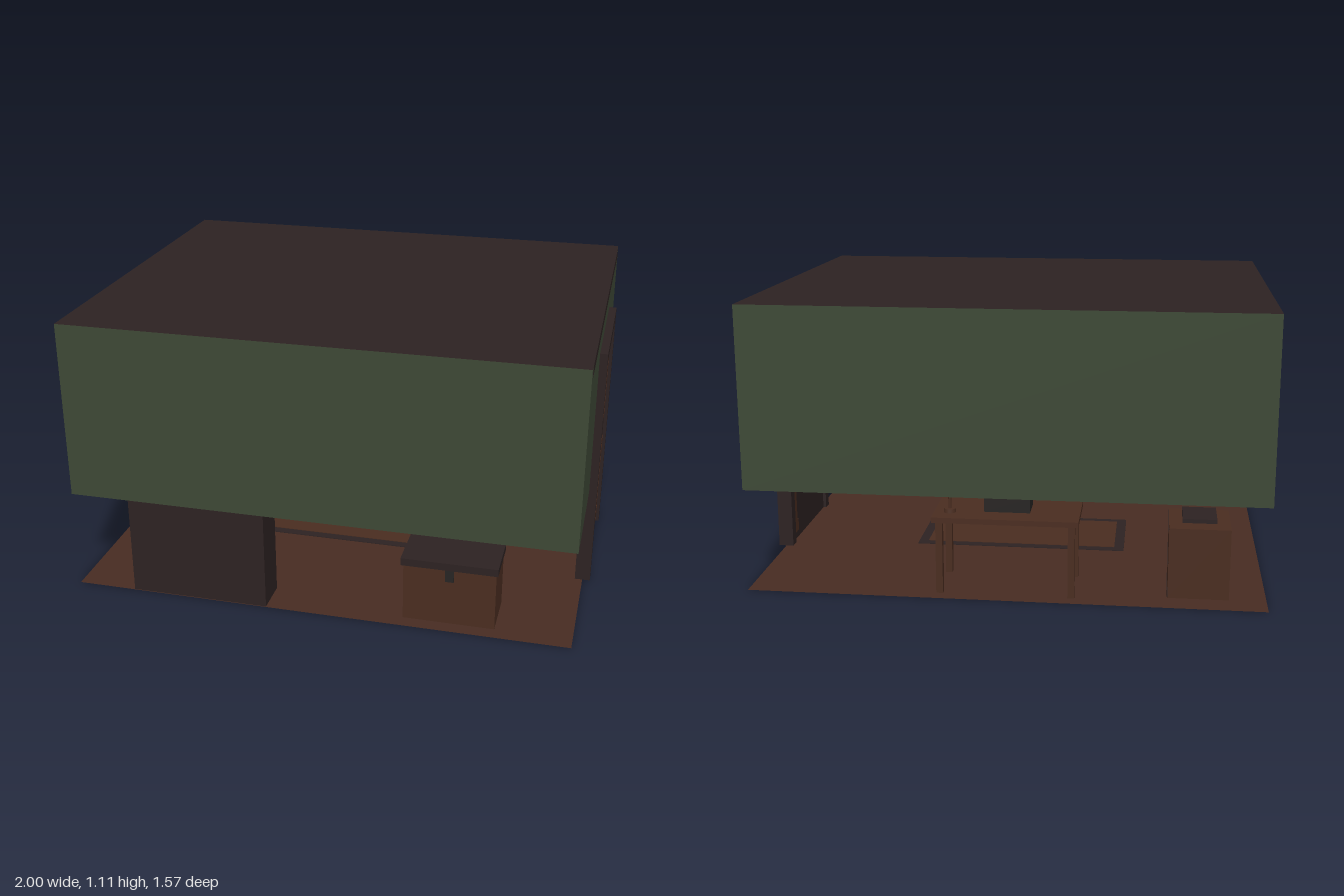
import * as THREE from 'three';

const mat = (name, color, side = THREE.FrontSide) => {
  const m = new THREE.MeshStandardMaterial({ color, side });
  m.name = name;
  return m;
};

export function createModel() {
  const root = new THREE.Group();
  root.name = 'studyRoom';

  const wall = mat('wall green', 0x3d4835, THREE.DoubleSide);
  const ceilingMat = mat('ceiling brown', 0x2d2222, THREE.DoubleSide);
  const floorMat = mat('floor brown', 0x472c22, THREE.DoubleSide);
  const dark = mat('dark wood', 0x2d2222);
  const wood = mat('warm wood', 0x4a2d20);
  const iron = mat('iron', 0x272423);
  const paperMat = mat('dull green paper', 0x3a4434, THREE.DoubleSide);
  const shadeMat = mat('shade brown', 0x4f3022, THREE.DoubleSide);

  const group = (name) => {
    const g = new THREE.Group();
    g.name = name;
    root.add(g);
    return g;
  };
  // box given by its limits on each axis
  const box = (parent, name, m, [x0, x1], [y0, y1], [z0, z1]) => {
    const mesh = new THREE.Mesh(new THREE.BoxGeometry(x1 - x0, y1 - y0, z1 - z0), m);
    mesh.position.set((x0 + x1) / 2, (y0 + y1) / 2, (z0 + z1) / 2);
    mesh.name = name;
    parent.add(mesh);
    return mesh;
  };
  const plane = (parent, name, m, w, h, pos, rx, ry) => {
    const mesh = new THREE.Mesh(new THREE.PlaneGeometry(w, h), m);
    mesh.position.set(...pos);
    mesh.rotation.set(rx, ry, 0);
    mesh.name = name;
    parent.add(mesh);
  };

  // room shell: floor, raised wall band, ceiling
  const X0 = -1, X1 = 0.97, Z = 0.785, TOP = 1.105, LOW = 0.4;
  const W = X1 - X0, XC = (X0 + X1) / 2, H = TOP - LOW, YC = (TOP + LOW) / 2;
  const shell = group('shell');
  plane(shell, 'floor', floorMat, W, 2 * Z, [XC, 0, 0], -Math.PI / 2, 0);
  plane(shell, 'ceiling', ceilingMat, W, 2 * Z, [XC, TOP, 0], -Math.PI / 2, 0);
  plane(shell, 'frontWall', wall, W, H, [XC, YC, Z], 0, 0);
  plane(shell, 'backWall', wall, W, H, [XC, YC, -Z], 0, Math.PI);
  plane(shell, 'leftWall', wall, 2 * Z, H, [X1, YC, 0], 0, Math.PI / 2);
  plane(shell, 'rightWall', wall, 2 * Z, H, [X0, YC, 0], 0, -Math.PI / 2);

  // ceiling moulding
  const crown = group('ceilingMoulding');
  const cy = [1.06, TOP - 0.001];
  box(crown, 'frontMoulding', dark, [X0 + 0.001, X1 - 0.001], cy, [0.74, Z - 0.001]);
  box(crown, 'backMoulding', dark, [X0 + 0.001, X1 - 0.001], cy, [-Z + 0.001, -0.74]);
  box(crown, 'leftMoulding', dark, [X1 - 0.045, X1 + 0.001], cy, [-0.74, 0.74]);
  box(crown, 'rightMoulding', dark, [X0 - 0.001, X0 + 0.045], cy, [-0.74, 0.74]);

  // door with frame and worn strips
  const door = group('door');
  for (const s of [-1, 1]) {
    box(door, 'doorJamb', dark, [0.94, 1], [0, 0.98], s > 0 ? [0.238, 0.284] : [-0.284, -0.238]);
  }
  box(door, 'doorLintel', dark, [0.94, 1], [0.935, 0.98], [-0.238, 0.238]);
  box(door, 'doorSlab', dark, [0.953, 0.986], [0, 0.907], [-0.238, 0.238]);
  for (const [y, z] of [
    [[0.81, 0.835], [0, 0.238]],
    [[0.52, 0.82], [-0.205, -0.175]],
    [[0.8, 0.84], [-0.235, -0.175]],
    [[0.07, 0.4], [-0.205, -0.175]],
    [[0.34, 0.42], [-0.235, -0.2]],
    [[0.03, 0.08], [-0.23, -0.16]],
    [[0.385, 0.405], [0.04, 0.238]],
    [[0.69, 0.73], [-0.11, -0.075]],
    [[0.24, 0.27], [-0.13, -0.1]],
    [[0.75, 0.81], [-0.035, -0.005]],
  ]) box(door, 'doorStrip', wood, [0.951, 0.988], y, z);

  // tall cabinet against the front wall, doors facing the room
  const cabinet = group('cabinet');
  box(cabinet, 'cabinetBody', dark, [-0.765, -0.215], [0.001, 0.78], [0.641, Z - 0.002]);
  for (const s of [-1, 1]) {
    const c = -0.49 + s * 0.135;
    box(cabinet, 'cabinetDoor', dark, [c - 0.125, c + 0.125], [0.03, 0.75], [0.635, 0.642]);
    box(cabinet, 'cabinetKnob', wood, [-0.495 + s * 0.03, -0.485 + s * 0.03], [0.41, 0.43], [0.62, 0.636]);
  }

  // storage chest
  const chest = group('chest');
  box(chest, 'chestBody', wood, [0.32, 0.675], [0.001, 0.235], [0.535, 0.73]);
  box(chest, 'chestLid', dark, [0.31, 0.682], [0.235, 0.265], [0.527, 0.738]);
  box(chest, 'chestLatch', iron, [0.482, 0.515], [0.185, 0.235], [0.725, 0.736]);

  // chest of drawers
  const dresser = group('dresser');
  box(dresser, 'dresserBody', wood, [-0.86, -0.63], [0.001, 0.277], [-0.69, -0.45]);
  for (const y of [0.008, 0.135, 0.268]) {
    box(dresser, 'drawerGap', dark, [-0.632, -0.628], [y - 0.005, y + 0.005], [-0.685, -0.455]);
  }
  box(dresser, 'folder', dark, [-0.81, -0.68], [0.277, 0.293], [-0.62, -0.47]);

  // table
  const table = group('table');
  box(table, 'tableTop', wood, [-0.295, 0.26], [0.284, 0.305], [-0.745, -0.475]);
  for (const x of [-0.268, 0.233]) for (const z of [-0.72, -0.5]) {
    box(table, 'tableLeg', wood, [x - 0.013, x + 0.013], [0, 0.284], [z - 0.013, z + 0.013]);
  }

  // typewriter: stepped body, keyboard, roller and sheet
  const typewriter = group('typewriter');
  box(typewriter, 'typewriterBody', iron, [-0.105, 0.07], [0.305, 0.362], [-0.655, -0.535]);
  const keys = box(typewriter, 'keyboard', iron, [-0.09, 0.055], [0.31, 0.33], [-0.545, -0.5]);
  keys.rotation.x = 0.2;
  const roller = new THREE.Mesh(new THREE.CylinderGeometry(0.014, 0.014, 0.205, 12), iron);
  roller.rotation.z = Math.PI / 2;
  roller.position.set(-0.018, 0.374, -0.63);
  roller.name = 'roller';
  typewriter.add(roller);
  plane(typewriter, 'sheet', paperMat, 0.11, 0.06, [-0.018, 0.4, -0.637], -0.1, 0);

  // table lamp
  const lamp = group('lamp');
  const turned = (name, m, r0, r1, y0, y1, open = false) => {
    const mesh = new THREE.Mesh(new THREE.CylinderGeometry(r1, r0, y1 - y0, 16, 1, open), m);
    mesh.position.set(0.2, (y0 + y1) / 2, -0.667);
    mesh.name = name;
    lamp.add(mesh);
  };
  turned('lampBase', wood, 0.024, 0.022, 0.305, 0.32);
  turned('lampStem', wood, 0.006, 0.006, 0.32, 0.43);
  turned('lampShade', shadeMat, 0.055, 0.03, 0.402, 0.465, true);

  // rug with dark border
  const rug = group('rug');
  box(rug, 'rugBorder', dark, [-0.45, 0.42], [0.001, 0.004], [-0.2, 0.2]);
  box(rug, 'rugField', wood, [-0.41, 0.38], [0.002, 0.006], [-0.165, 0.165]);

  return root;
}
